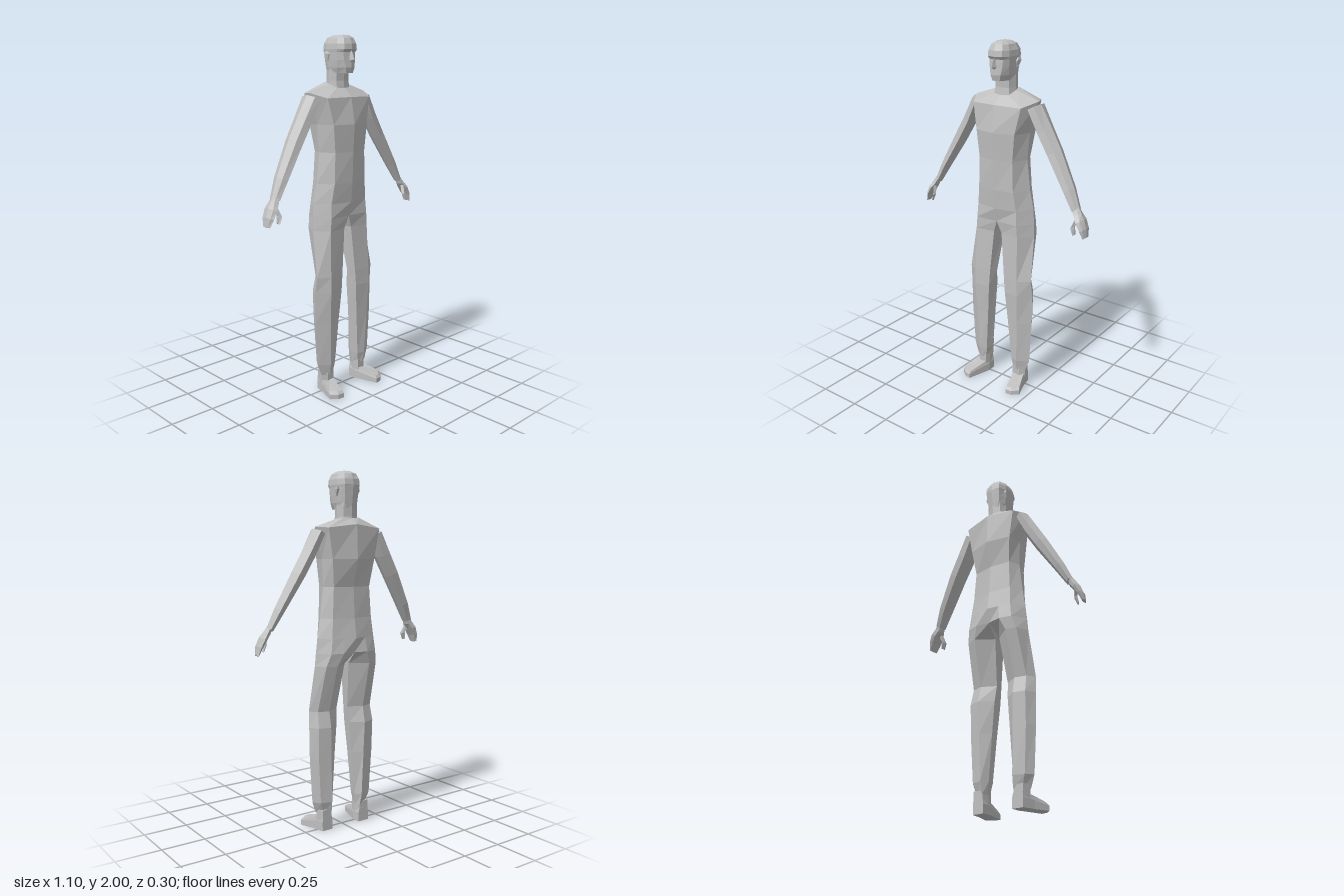
import * as THREE from 'three';

// Faceted loft through closed rings listed bottom to top, counterclockwise from above
function loft(rings) {
  const pos = [];
  const tri = (a, b, c) => pos.push(...a, ...b, ...c);
  const mid = (r) => [0, 1, 2].map((k) => r.reduce((s, p) => s + p[k], 0) / r.length);
  const n = rings[0].length;
  for (let j = 0; j < rings.length - 1; j++) {
    for (let i = 0; i < n; i++) {
      const k = (i + 1) % n, lo = rings[j], hi = rings[j + 1];
      tri(lo[i], lo[k], hi[k]);
      tri(lo[i], hi[k], hi[i]);
    }
  }
  const first = rings[0], last = rings[rings.length - 1], c0 = mid(first), c1 = mid(last);
  for (let i = 0; i < n; i++) {
    const k = (i + 1) % n;
    tri(c0, first[k], first[i]);
    tri(c1, last[i], last[k]);
  }
  const g = new THREE.BufferGeometry();
  g.setAttribute('position', new THREE.Float32BufferAttribute(pos, 3));
  g.computeVertexNormals();
  return g;
}

// Completes a half ring that runs from the front centre to the back centre
const whole = (half) => [...half, ...half.slice(1, -1).reverse().map(([x, y, z]) => [-x, y, z])];
const flip = (rings) => rings.map((r) => r.map(([x, y, z]) => [-x, y, z]).reverse());

export function createModel() {
  const model = new THREE.Group();
  const grey = new THREE.MeshStandardMaterial({ color: 0xbfbfbf });
  grey.name = 'grey';

  const add = (name, rings) => {
    const mesh = new THREE.Mesh(loft(rings), grey);
    mesh.name = name;
    model.add(mesh);
  };
  const addPair = (name, rings) => {
    add('left' + name, rings);
    add('right' + name, flip(rings));
  };

  // Torso: front centre, front corner, side, back corner, back centre
  const level = (y, f, [ax, az], [sx, sz], [bx, bz], b) =>
    [[0, y, f], [ax, y, az], [sx, y, sz], [bx, y, bz], [0, y, b]];
  const hips = level(1.1, 0.07, [0.13, 0.05], [0.188, -0.035], [0.14, -0.11], -0.138);
  add('torso', [
    hips,
    level(1.21, 0.08, [0.115, 0.06], [0.167, -0.03], [0.13, -0.1], -0.122),
    level(1.38, 0.086, [0.11, 0.06], [0.146, -0.03], [0.12, -0.095], -0.112),
    level(1.53, 0.095, [0.125, 0.065], [0.156, -0.035], [0.14, -0.115], -0.15),
    [[0, 1.675, 0.07], [0.155, 1.672, 0.05], [0.205, 1.7, -0.045], [0.17, 1.695, -0.12], [0, 1.715, -0.142]],
    [[0, 1.72, 0.02], [0.05, 1.722, 0.01], [0.065, 1.745, -0.04], [0.05, 1.752, -0.09], [0, 1.748, -0.1]],
  ].map(whole));

  // Neck
  const neckRing = (y, w, f, b) =>
    whole([[0, y, f], [w * 0.75, y, f - 0.01], [w, y, (f + b) / 2], [w * 0.75, y, b + 0.015], [0, y, b]]);
  add('neck', [neckRing(1.69, 0.064, 0.02, -0.1), neckRing(1.76, 0.06, 0.01, -0.094), neckRing(1.86, 0.058, 0.015, -0.098)]);

  // Head: half rings with face corner, cheek, ear line and back corner
  const skull = (y, f, fx, fz, cx, cz, ex, ez, bx, bz, b) =>
    whole([[0, y, f], [fx, y, fz], [cx, y, cz], [ex, y, ez], [bx, y, bz], [0, y, b]]);
  add('head', [
    skull(1.8, 0.062, 0.024, 0.055, 0.045, 0.005, 0.052, -0.05, 0.036, -0.085, -0.094),
    skull(1.83, 0.07, 0.032, 0.06, 0.054, 0.015, 0.06, -0.05, 0.04, -0.088, -0.098),
    skull(1.87, 0.067, 0.04, 0.055, 0.059, 0.02, 0.064, -0.05, 0.044, -0.092, -0.103),
    skull(1.91, 0.064, 0.044, 0.052, 0.062, 0.02, 0.067, -0.05, 0.048, -0.096, -0.107),
    skull(1.925, 0.075, 0.046, 0.063, 0.064, 0.025, 0.069, -0.05, 0.05, -0.098, -0.108),
    skull(1.955, 0.072, 0.044, 0.06, 0.062, 0.022, 0.066, -0.05, 0.048, -0.095, -0.105),
    skull(1.985, 0.057, 0.036, 0.047, 0.051, 0.016, 0.052, -0.045, 0.038, -0.08, -0.092),
    skull(2.0, 0.03, 0.02, 0.025, 0.028, 0, 0.028, -0.03, 0.02, -0.05, -0.058),
  ]);

  // Nose
  const noseRing = (y, w, z) => [[0, y, z], [w, y, 0.05], [-w, y, 0.05]];
  add('nose', [noseRing(1.86, 0.014, 0.074), noseRing(1.872, 0.015, 0.092), noseRing(1.918, 0.006, 0.072)]);

  // Ears
  const earRing = (y, x, f, b) => [[0.055, y, f], [x, y, f - 0.012], [x + 0.004, y, b], [0.055, y, b]];
  addPair('Ear', [earRing(1.865, 0.066, -0.03, -0.05), earRing(1.9, 0.073, -0.025, -0.064), earRing(1.915, 0.07, -0.035, -0.062)]);

  // Legs: inner front, front ridge, outer side, back outer, back ridge, inner back
  const legRing = (y, xi, xf, xo, zf, zb) => {
    const zm = zf * 0.4 + zb * 0.6;
    return [[xi + 0.012, y, zf - 0.012], [xf, y, zf], [xo, y, zm + 0.02],
      [xo - 0.03, y, zb + 0.018], [xf - 0.03, y, zb], [xi, y, zm]];
  };
  addPair('Leg', [
    legRing(0.1, 0.09, 0.13, 0.175, 0.035, -0.042),
    legRing(0.165, 0.08, 0.135, 0.2, 0.045, -0.055),
    legRing(0.42, 0.06, 0.143, 0.215, 0.055, -0.06),
    legRing(0.6, 0.045, 0.148, 0.217, 0.065, -0.065),
    legRing(0.69, 0.038, 0.147, 0.212, 0.064, -0.046),
    legRing(0.95, 0.014, 0.14, 0.2, 0.054, -0.115),
    [[0, 1.02, 0.052], [0.135, 1.02, 0.055], [0.195, 1.02, -0.03], [0.15, 1.02, -0.115], [0.08, 1.02, -0.134], [0, 1.02, -0.12]],
    [[0, 1.1, 0.07], [0.13, 1.1, 0.05], [0.188, 1.1, -0.035], [0.14, 1.1, -0.11], [0.07, 1.1, -0.124], [0, 1.1, -0.138]],
  ]);

  // Ankles
  const ankleRing = (y, f, o) => [[0.1, y, f], [0.145, y, f], [o, y, 0.005], [0.16, y, -0.04], [0.1, y, -0.04], [0.092, y, 0]];
  addPair('Ankle', [ankleRing(0.03, 0.03, 0.172), ankleRing(0.12, 0.03, 0.173)]);

  // Feet, turned outward, with a sloping instep
  const sole = [[0.135, 0.152], [0.172, 0.146], [0.208, 0.115], [0.178, 0.03], [0.162, -0.042], [0.093, -0.042], [0.092, 0.01]];
  const top = [0.04, 0.04, 0.042, 0.068, 0.08, 0.08, 0.074];
  addPair('Foot', [
    sole.map(([x, z]) => [x, 0, z]),
    sole.map(([x, z], i) => [x, top[i] * 0.65, z]),
    sole.map(([x, z], i) => [x + (0.142 - x) * 0.14, top[i], z - (i < 3 ? 0.012 : 0)]),
  ]);

  // Arms: slanted six sided rings (centre, thickness, front and back depth)
  const armRing = (x, y, r, f, b) => {
    const m = (f + b) / 2;
    return [[-0.5, f], [0.45, f - 0.012], [1, m], [0.45, b], [-0.5, b + 0.01], [-1, m]]
      .map(([u, z]) => [x + 0.88 * u * r, y + 0.48 * u * r, z]);
  };
  addPair('Arm', [
    armRing(0.472, 1.165, 0.022, 0.018, -0.042),
    armRing(0.42, 1.265, 0.031, 0.018, -0.065),
    armRing(0.315, 1.445, 0.041, 0.01, -0.09),
    armRing(0.25, 1.555, 0.042, 0.01, -0.096),
    armRing(0.188, 1.672, 0.036, 0.015, -0.1),
  ]);

  // Hands: flat mitten of fingers and a separate thumb
  addPair('Hand', [
    armRing(0.542, 1.032, 0.008, 0.03, -0.022),
    armRing(0.53, 1.075, 0.015, 0.042, -0.036),
    armRing(0.508, 1.118, 0.02, 0.04, -0.043),
    armRing(0.486, 1.148, 0.022, 0.024, -0.036),
    armRing(0.472, 1.175, 0.018, 0.014, -0.034),
  ]);
  addPair('Thumb', [
    armRing(0.488, 1.045, 0.006, 0.045, 0.022),
    armRing(0.477, 1.085, 0.011, 0.046, 0.012),
    armRing(0.492, 1.135, 0.014, 0.025, -0.01),
  ]);

  return model;
}
